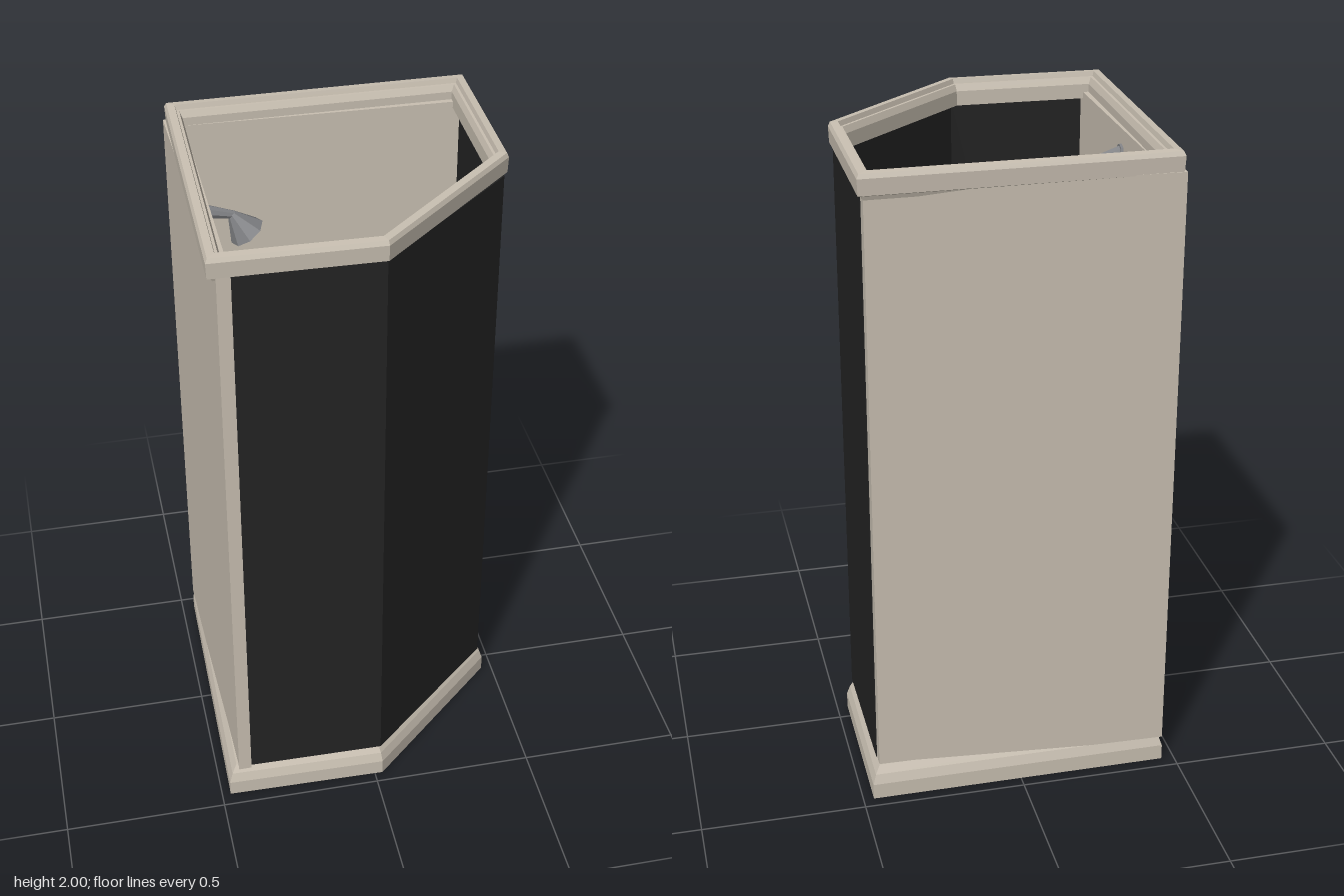
import * as THREE from 'three';

const stone = new THREE.MeshStandardMaterial({ color: 0xc9c0b2, flatShading: true });
stone.name = 'warm stone';
const dark = new THREE.MeshStandardMaterial({ color: 0x232323, flatShading: true });
dark.name = 'dark glass';
const metal = new THREE.MeshStandardMaterial({ color: 0x808184, flatShading: true });
metal.name = 'grey metal';

// Five-sided plan as [x, z], counter-clockwise from above
const plan = [[-0.46, -0.46], [-0.473, 0.457], [0.025, 0.465], [0.466, 0.06], [0.468, -0.464]];

// Plan moved inward by d with mitred corners
function inset(d) {
  const n = plan.length;
  const normal = i => {
    const a = plan[i % n], b = plan[(i + 1) % n];
    const l = Math.hypot(b[0] - a[0], b[1] - a[1]);
    return [-(b[1] - a[1]) / l, (b[0] - a[0]) / l];
  };
  return plan.map((p, i) => {
    const u = normal(i + n - 1), v = normal(i);
    const k = d / (1 + u[0] * v[0] + u[1] * v[1]);
    return [p[0] - (u[0] + v[0]) * k, p[1] - (u[1] + v[1]) * k];
  });
}

// Moulding: a profile of [inset, height] swept round the plan
function moulding(profile, closed) {
  const rings = profile.map(([d, y]) => inset(d).map(([x, z]) => [x, y, z]));
  const pos = [], n = plan.length;
  for (let k = 0; k < rings.length - (closed ? 0 : 1); k++) {
    const lo = rings[k], hi = rings[(k + 1) % rings.length];
    for (let i = 0; i < n; i++) {
      const j = (i + 1) % n;
      for (const p of [lo[i], lo[j], hi[j], lo[i], hi[j], hi[i]]) pos.push(...p);
    }
  }
  const g = new THREE.BufferGeometry();
  g.setAttribute('position', new THREE.Float32BufferAttribute(pos, 3));
  g.computeVertexNormals();
  return g;
}

const outline = pts => new THREE.Shape(pts.map(([x, z]) => new THREE.Vector2(x, -z)));

// Upright prism over a plan outline
function prism(pts, y0, y1) {
  return new THREE.ExtrudeGeometry(outline(pts), { depth: y1 - y0, bevelEnabled: false })
    .rotateX(-Math.PI / 2).translate(0, y0, 0);
}

// Tapered rod between two points
function rod(a, b, ra, rb, sides) {
  const A = new THREE.Vector3(...a), B = new THREE.Vector3(...b), dir = B.clone().sub(A);
  const g = new THREE.CylinderGeometry(rb, ra, dir.length(), sides);
  g.applyQuaternion(new THREE.Quaternion().setFromUnitVectors(new THREE.Vector3(0, 1, 0), dir.normalize()));
  const m = A.add(B).multiplyScalar(0.5);
  return g.translate(m.x, m.y, m.z);
}

export function createModel() {
  const model = new THREE.Group();
  const add = (name, geometry, material, parent = model) => {
    const mesh = new THREE.Mesh(geometry, material);
    mesh.name = name;
    parent.add(mesh);
    return mesh;
  };

  // Tray: curb, floor and underside
  add('baseCurb', moulding([[0, 0], [0, 0.05], [0.01, 0.08], [0.025, 0.105], [0.055, 0.105], [0.06, 0.04]]), stone);
  add('floor', new THREE.ShapeGeometry(outline(inset(0.06))).rotateX(-Math.PI / 2).translate(0, 0.04, 0), stone);
  add('underside', new THREE.ShapeGeometry(outline(plan.map(([x, z]) => [x, -z]).reverse()))
    .rotateX(Math.PI / 2), metal);

  // Two solid walls meeting in the back corner
  add('cornerWalls', prism([[-0.46, -0.456], [-0.44, 0.442], [-0.4, 0.442], [-0.405, -0.405],
    [0.443, -0.392], [0.443, -0.436]], 0.08, 1.94), stone);

  // Three glazed sides
  add('glassPanels', prism([[-0.4, 0.44], [0.022, 0.445], [0.447, 0.065], [0.445, -0.392],
    [0.435, -0.392], [0.437, 0.061], [0.018, 0.435], [-0.4, 0.43]], 0.1, 1.93), dark);

  // Stepped top rim
  add('topRim', moulding([[0.024, 1.92], [0.02, 1.932], [0.008, 1.937], [0.006, 1.985], [0.012, 1.998],
    [0.034, 2], [0.038, 1.985], [0.046, 1.985], [0.054, 1.965], [0.054, 1.92]], true), stone);

  // Floor drain
  add('drainRing', new THREE.CylinderGeometry(0.052, 0.052, 0.006, 5).rotateY(0.3).translate(-0.013, 0.043, -0.015), stone);
  add('drain', new THREE.CylinderGeometry(0.045, 0.045, 0.01, 5).rotateY(0.9).translate(-0.013, 0.045, -0.015), metal);

  // Shower arm and flared head on the left-hand wall
  const shower = new THREE.Group();
  shower.name = 'shower';
  model.add(shower);
  add('showerFlange', rod([-0.41, 1.87, -0.015], [-0.395, 1.87, -0.015], 0.025, 0.025, 8), metal, shower);
  add('showerArm', rod([-0.4, 1.87, -0.015], [-0.32, 1.85, -0.015], 0.02, 0.012, 8), metal, shower);
  add('showerHead', rod([-0.328, 1.855, -0.015], [-0.285, 1.79, -0.015], 0.012, 0.055, 8), metal, shower);

  // Mixer tap: bent pipe with a handle at each end
  const tap = new THREE.Group();
  tap.name = 'mixerTap';
  model.add(tap);
  for (const s of [-1, 1]) {
    const z = -0.012 + s * 0.08;
    add('tapInlet', rod([-0.41, 1, z], [-0.375, 1, z], 0.022, 0.018, 6), metal, tap);
    add('tapPipe', rod([-0.38, 1, z], [-0.348, 1, -0.012 + s * 0.025], 0.019, 0.019, 6), metal, tap);
    add('tapHandle', rod([-0.385, 1.01, z], [-0.35, 1.02, z + s * 0.012], 0.016, 0.006, 4), metal, tap);
  }
  add('tapBody', rod([-0.35, 1, -0.042], [-0.35, 1, 0.018], 0.019, 0.019, 6), metal, tap);

  return model;
}
